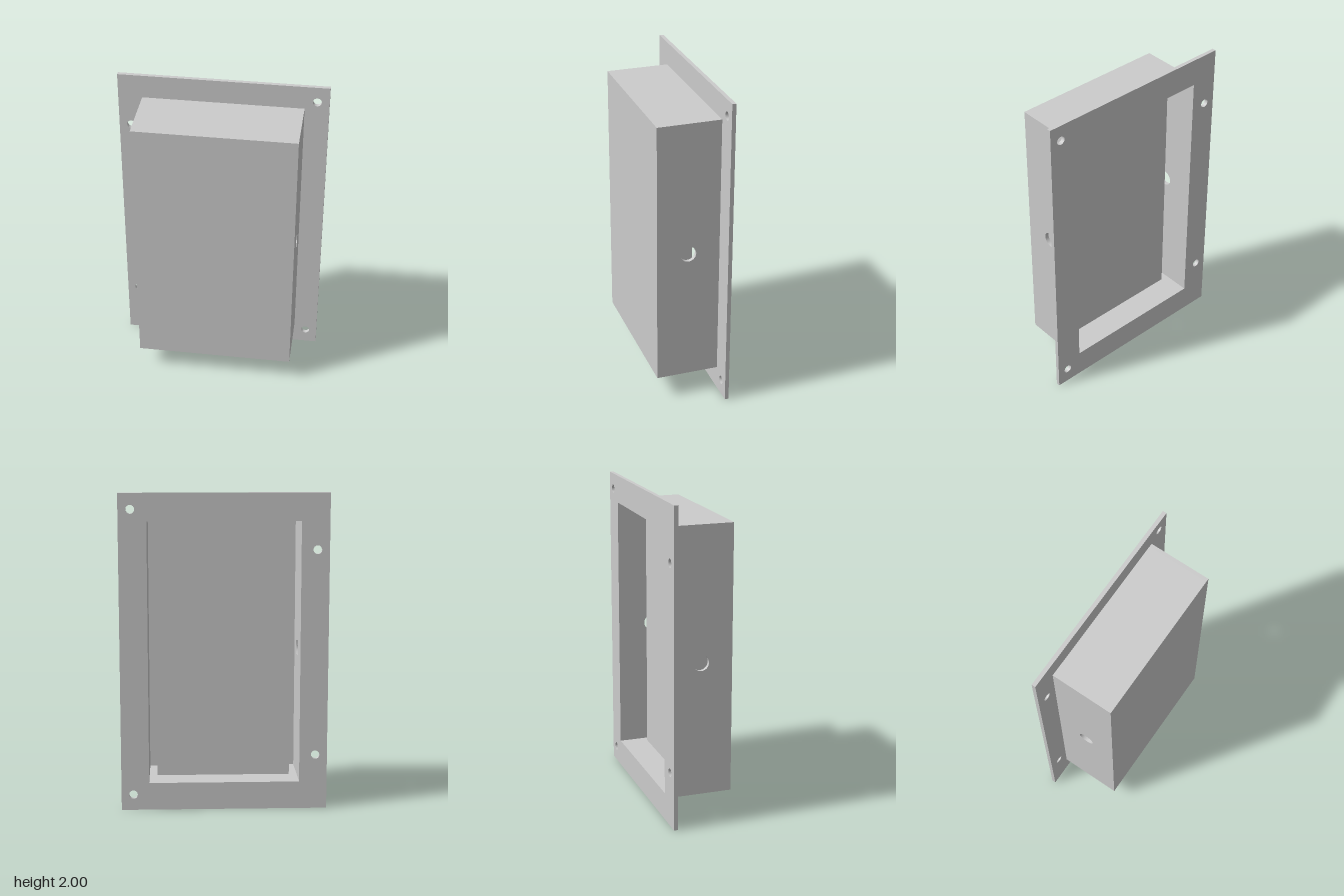
import * as THREE from 'three';

const material = new THREE.MeshStandardMaterial({ color: 0xcccccc });
const WALL = 0.025;
const BACK = -0.2125, FRONT = 0.2125;   // overall depth
const W = 0.5, LOW = 0.15, HIGH = 1.85; // outside of the box
const INNER = W - WALL;

function addMesh(group, name, geometry, x = 0, y = 0, z = 0) {
  const mesh = new THREE.Mesh(geometry, material);
  mesh.name = name;
  mesh.position.set(x, y, z);
  group.add(mesh);
}

function polygon(PathType, points) {
  return new PathType(points.map(([x, y]) => new THREE.Vector2(x, y)));
}

function rectangle(PathType, x0, y0, x1, y1) {
  return polygon(PathType, [[x0, y0], [x1, y0], [x1, y1], [x0, y1]]);
}

function roundHole(x, y, r) {
  return new THREE.Path().absarc(x, y, r, 0, Math.PI * 2, true);
}

function extrude(shape, depth) {
  return new THREE.ExtrudeGeometry(shape, { depth, bevelEnabled: false, curveSegments: 32 });
}

export function createModel() {
  const group = new THREE.Group();
  group.name = 'flangedEnclosure';

  // Mounting flange with the open back and four screw holes
  const flange = rectangle(THREE.Shape, -0.65, 0, 0.65, 2);
  flange.holes.push(rectangle(THREE.Path, -INNER, LOW + WALL, INNER, HIGH - WALL));
  for (const [x, y] of [[-0.575, 0.35], [-0.575, 1.65], [0.575, 0.1], [0.575, 1.9]]) {
    flange.holes.push(roundHole(x, y, 0.027));
  }
  addMesh(group, 'mountingFlange', extrude(flange, WALL), 0, 0, BACK);

  // Side walls, each with a cable hole
  const side = rectangle(THREE.Shape, -FRONT, LOW, -BACK - WALL, HIGH);
  side.holes.push(roundHole(-0.0125, 1, 0.05));
  const sideGeometry = extrude(side, WALL).rotateY(Math.PI / 2);
  addMesh(group, 'leftWall', sideGeometry, INNER);
  addMesh(group, 'rightWall', sideGeometry, -W);

  // Top and bottom walls
  const depth = FRONT - BACK - WALL;
  const capGeometry = new THREE.BoxGeometry(2 * INNER, WALL, depth);
  addMesh(group, 'topWall', capGeometry, 0, HIGH - WALL / 2, FRONT - depth / 2);
  addMesh(group, 'bottomWall', capGeometry, 0, LOW + WALL / 2, FRONT - depth / 2);

  // Front panel with a raised inner block, leaving a slot along each side wall
  const blockHalf = 0.425, blockBack = -0.0375, panelBack = FRONT - WALL;
  const profile = polygon(THREE.Shape, [
    [-INNER, -FRONT], [INNER, -FRONT], [INNER, -panelBack], [blockHalf, -panelBack],
    [blockHalf, -blockBack], [-blockHalf, -blockBack], [-blockHalf, -panelBack], [-INNER, -panelBack],
  ]);
  const panel = extrude(profile, HIGH - LOW - 2 * WALL).rotateX(-Math.PI / 2);
  addMesh(group, 'frontPanelWithBlock', panel, 0, LOW + WALL);

  return group;
}
